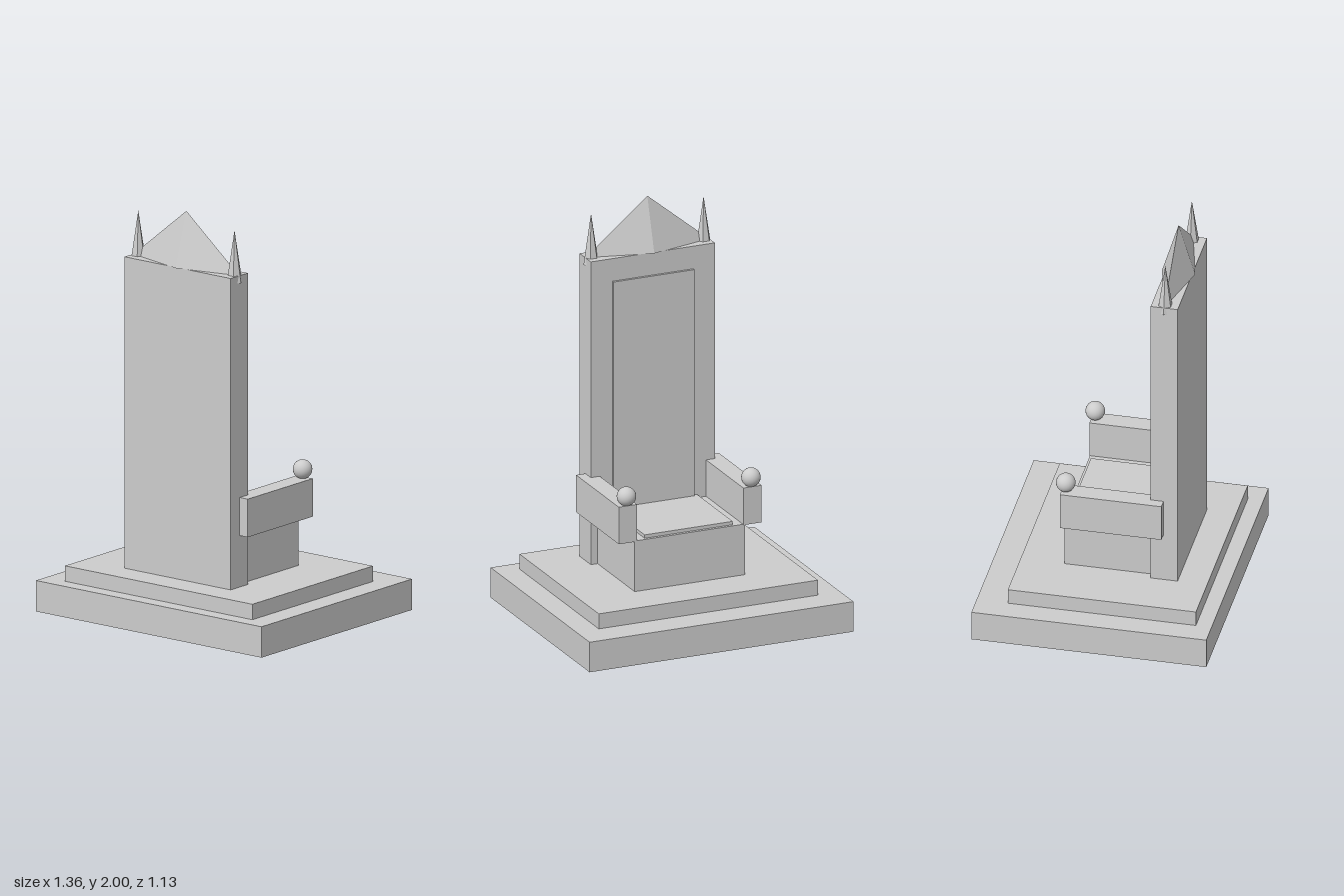
import * as THREE from 'three';

export function createModel() {
  const model = new THREE.Group();
  model.name = 'throne';
  const stone = new THREE.MeshStandardMaterial({ color: 0xcccccc });
  stone.name = 'grey stone';

  const add = (name, geometry, x = 0, y = 0, z = 0) => {
    const mesh = new THREE.Mesh(geometry, stone);
    mesh.name = name;
    mesh.position.set(x, y, z);
    model.add(mesh);
    return mesh;
  };
  // Box given by its limits on each axis
  const block = (name, x0, x1, y0, y1, z0, z1) =>
    add(name, new THREE.BoxGeometry(x1 - x0, y1 - y0, z1 - z0),
      (x0 + x1) / 2, (y0 + y1) / 2, (z0 + z1) / 2);
  // Faceted cone with a corner pointing along +x
  const spire = (radius, height, sides) => {
    const g = new THREE.ConeGeometry(radius, height, sides).toNonIndexed();
    g.rotateY(Math.PI / 2);
    return g;
  };
  const flat = (g) => { g.computeVertexNormals(); return g; };

  // Stepped plinth
  block('lowerStep', -0.68, 0.68, 0, 0.15, -0.565, 0.565);
  block('upperStep', -0.565, 0.565, 0.15, 0.225, -0.415, 0.49);

  // Seat and its cushion
  block('seat', -0.285, 0.285, 0.225, 0.478, -0.205, 0.23);
  block('cushion', -0.227, 0.227, 0.47, 0.495, -0.19, 0.23);

  // Tall back with a raised panel on the seat side
  block('back', -0.32, 0.32, 0.225, 1.738, 0.218, 0.348);
  block('backPanel', -0.208, 0.208, 0.47, 1.625, 0.205, 0.23);

  // Pointed crest, flattened front to back
  const crest = spire(0.318, 0.262, 4);
  crest.scale(1, 1, 0.08 / 0.318);
  add('crest', flat(crest), 0, 1.869, 0.282);

  // Arms, arm knobs and corner finials
  for (const s of [-1, 1]) {
    const side = s > 0 ? 'left' : 'right';
    block(side + 'Arm', s * 0.321 - 0.047, s * 0.321 + 0.047, 0.475, 0.66, -0.208, 0.28);
    add(side + 'Knob', new THREE.SphereGeometry(0.046, 24, 16), s * 0.321, 0.702, -0.19);
    add(side + 'Finial', flat(spire(0.039, 0.252, 6)), s * 0.29, 1.829, 0.282);
  }
  return model;
}
